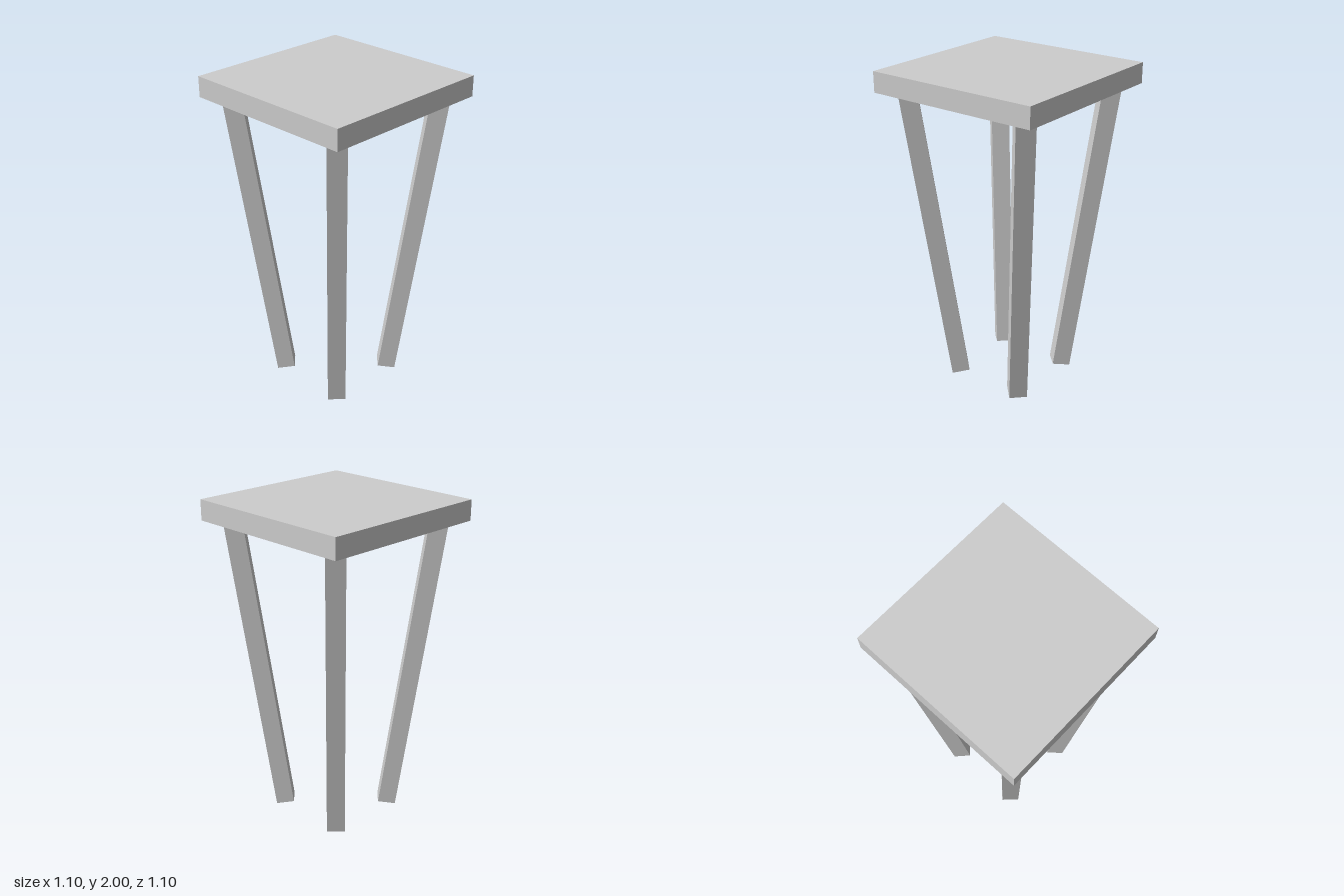
import * as THREE from 'three';

export function createModel() {
  const model = new THREE.Group();
  model.name = 'stool';
  const grey = new THREE.MeshStandardMaterial({ color: 0xcccccc });
  grey.name = 'light grey';

  // Square seat slab
  const seat = new THREE.Mesh(new THREE.BoxGeometry(1.1, 0.125, 1.1), grey);
  seat.name = 'seat';
  seat.position.y = 1.9375;
  model.add(seat);

  // Four square legs on the diagonals, splayed outwards towards the seat
  const legGeometry = new THREE.BoxGeometry(0.111, 1.883, 0.111);
  const names = ['backLeftLeg', 'backRightLeg', 'frontRightLeg', 'frontLeftLeg'];
  names.forEach((name, i) => {
    const pivot = new THREE.Group();
    pivot.name = name;
    pivot.rotation.y = Math.PI / 4 + (i * Math.PI) / 2;
    const leg = new THREE.Mesh(legGeometry, grey);
    leg.name = name + 'Post';
    leg.position.set(0.46, 0.94, 0);
    leg.rotation.z = -THREE.MathUtils.degToRad(8);
    pivot.add(leg);
    model.add(pivot);
  });

  return model;
}
